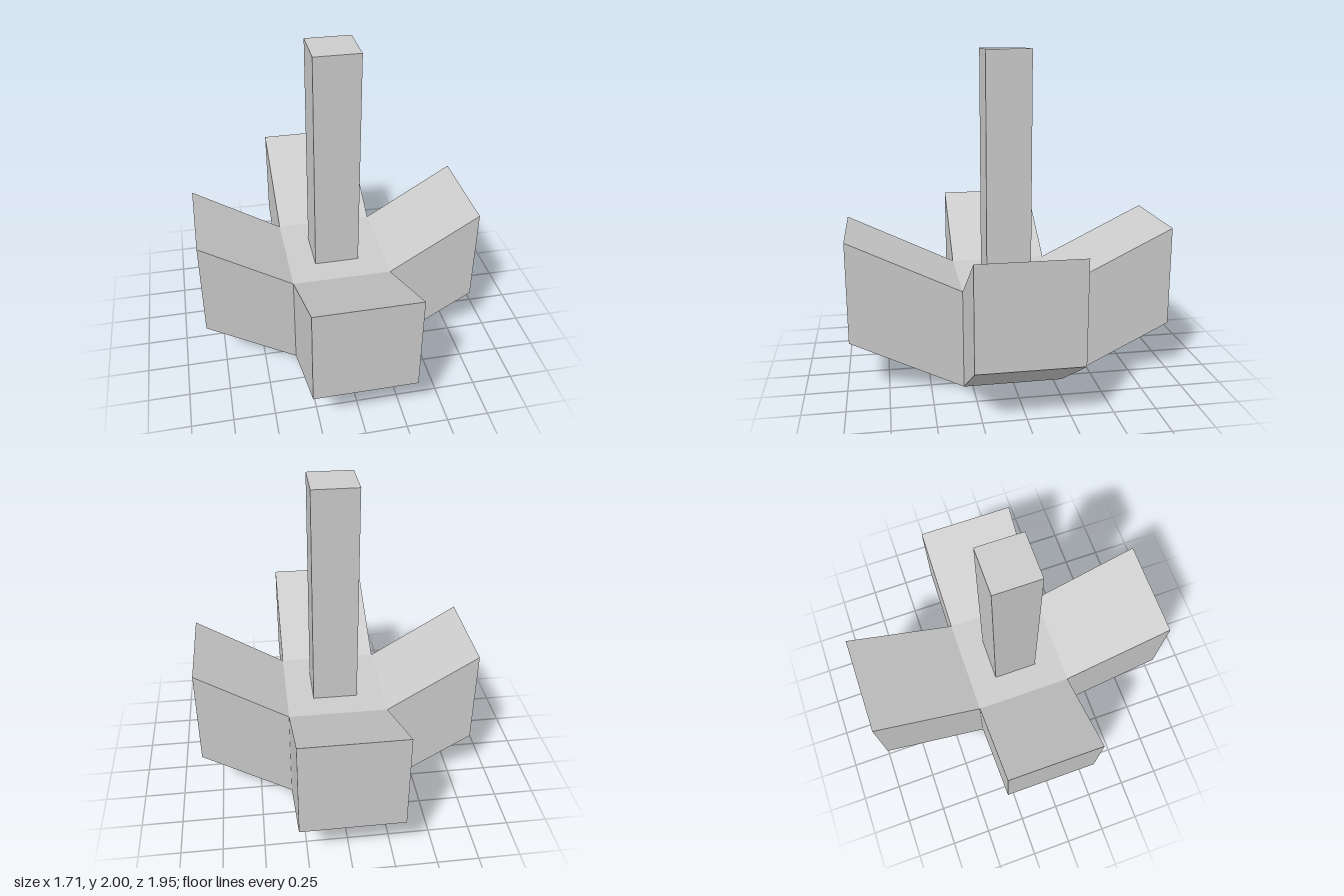
import * as THREE from 'three';

const HALF = 0.305;        // half width of the hub
const HEIGHT = 0.61;       // hub and arm height

// Arm: a box running out from the hub along +x, sheared upward towards its tip
function armGeometry(reach, rise) {
  const length = reach - HALF;
  const geometry = new THREE.BoxGeometry(length, HEIGHT, HALF * 2);
  geometry.translate(HALF + length / 2, HEIGHT / 2, 0);
  const pos = geometry.attributes.position;
  for (let i = 0; i < pos.count; i++) {
    const t = (pos.getX(i) - HALF) / length;
    pos.setY(i, pos.getY(i) + t * rise);
  }
  geometry.computeVertexNormals();
  return geometry;
}

export function createModel() {
  const group = new THREE.Group();
  const material = new THREE.MeshStandardMaterial({ color: 0xcccccc, flatShading: true });

  const add = (name, geometry) => {
    const mesh = new THREE.Mesh(geometry, material);
    mesh.name = name;
    group.add(mesh);
    return mesh;
  };

  // Central hub
  add('hub', new THREE.BoxGeometry(HALF * 2, HEIGHT, HALF * 2)).position.y = HEIGHT / 2;

  // Square post standing on the hub
  const postHeight = 2 - HEIGHT;
  add('post', new THREE.BoxGeometry(0.275, postHeight, 0.275)).position.y = HEIGHT + postHeight / 2;

  // Four rising arms: shorter to the sides, longer to front and back
  const sideArm = armGeometry(0.855, 0.345);
  const longArm = armGeometry(0.975, 0.33);
  ['leftArm', 'backArm', 'rightArm', 'frontArm'].forEach((name, i) => {
    add(name, i % 2 ? longArm : sideArm).rotation.y = i * Math.PI / 2;
  });

  return group;
}
